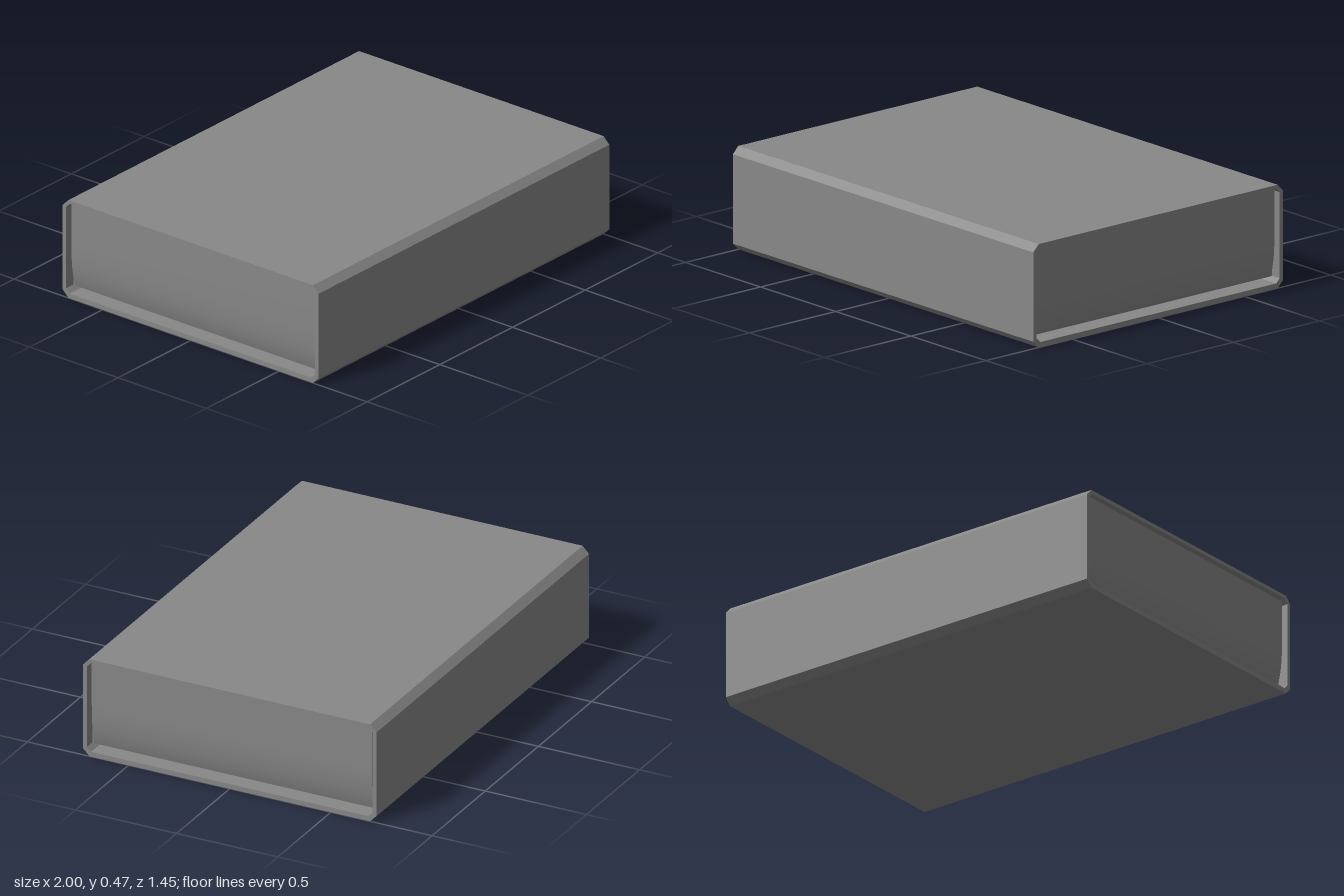
import * as THREE from 'three';
import { toCreasedNormals } from 'three/addons/utils/BufferGeometryUtils.js';

const material = new THREE.MeshStandardMaterial({ color: 0x888888 });

function add(group, name, geometry, x = 0, y = 0, z = 0) {
  const mesh = new THREE.Mesh(geometry, material);
  mesh.name = name;
  mesh.position.set(x, y, z);
  group.add(mesh);
}

// Corners of a chamfered rectangle, half width w, from y0 to y1, chamfer c
function chamferedRect(w, y0, y1, c) {
  return [
    [-w + c, y0], [w - c, y0], [w, y0 + c], [w, y1 - c],
    [w - c, y1], [-w + c, y1], [-w, y1 - c], [-w, y0 + c],
  ].map(([x, y]) => new THREE.Vector2(x, y));
}

export function createModel() {
  const model = new THREE.Group();
  model.name = 'matchbox';

  // Sleeve: chamfered tube, open at both ends
  const ring = new THREE.Shape(chamferedRect(0.725, 0, 0.472, 0.032));
  ring.holes.push(new THREE.Path(chamferedRect(0.705, 0.023, 0.456, 0.02)));
  const sleeve = new THREE.ExtrudeGeometry(ring, { depth: 2, bevelEnabled: false });
  sleeve.translate(0, 0, -1).rotateY(Math.PI / 2);
  add(model, 'sleeve', sleeve);

  // Tray: open-topped trough whose end panels curve in gently at the bottom
  const tray = new THREE.Group();
  tray.name = 'tray';
  model.add(tray);
  const end = 0.98, top = 0.449, base = 0.044, t = 0.015, curl = 0.025, bend = 0.24;
  const trough = new THREE.Shape();
  trough.moveTo(-end, top);
  trough.lineTo(-end, bend);
  trough.quadraticCurveTo(-end, 0.12, -end + curl, base);
  trough.lineTo(end - curl, base);
  trough.quadraticCurveTo(end, 0.12, end, bend);
  trough.lineTo(end, top);
  trough.lineTo(end - t, top);
  trough.lineTo(end - t, bend);
  trough.quadraticCurveTo(end - t, 0.12, end - t - curl, base + t);
  trough.lineTo(-end + t + curl, base + t);
  trough.quadraticCurveTo(-end + t, 0.12, -end + t, bend);
  trough.lineTo(-end + t, top);
  trough.closePath();
  const body = new THREE.ExtrudeGeometry(trough, { depth: 1.384, bevelEnabled: false, curveSegments: 8 });
  body.translate(0, 0, -0.692);
  add(tray, 'trayBody', toCreasedNormals(body, 0.4));

  // Long side walls of the tray
  for (const s of [-1, 1]) {
    const wall = new THREE.BoxGeometry(1.9, 0.39, 0.012);
    add(tray, s > 0 ? 'trayFrontWall' : 'trayBackWall', wall, 0, base + 0.195, s * 0.698);
  }

  return model;
}
